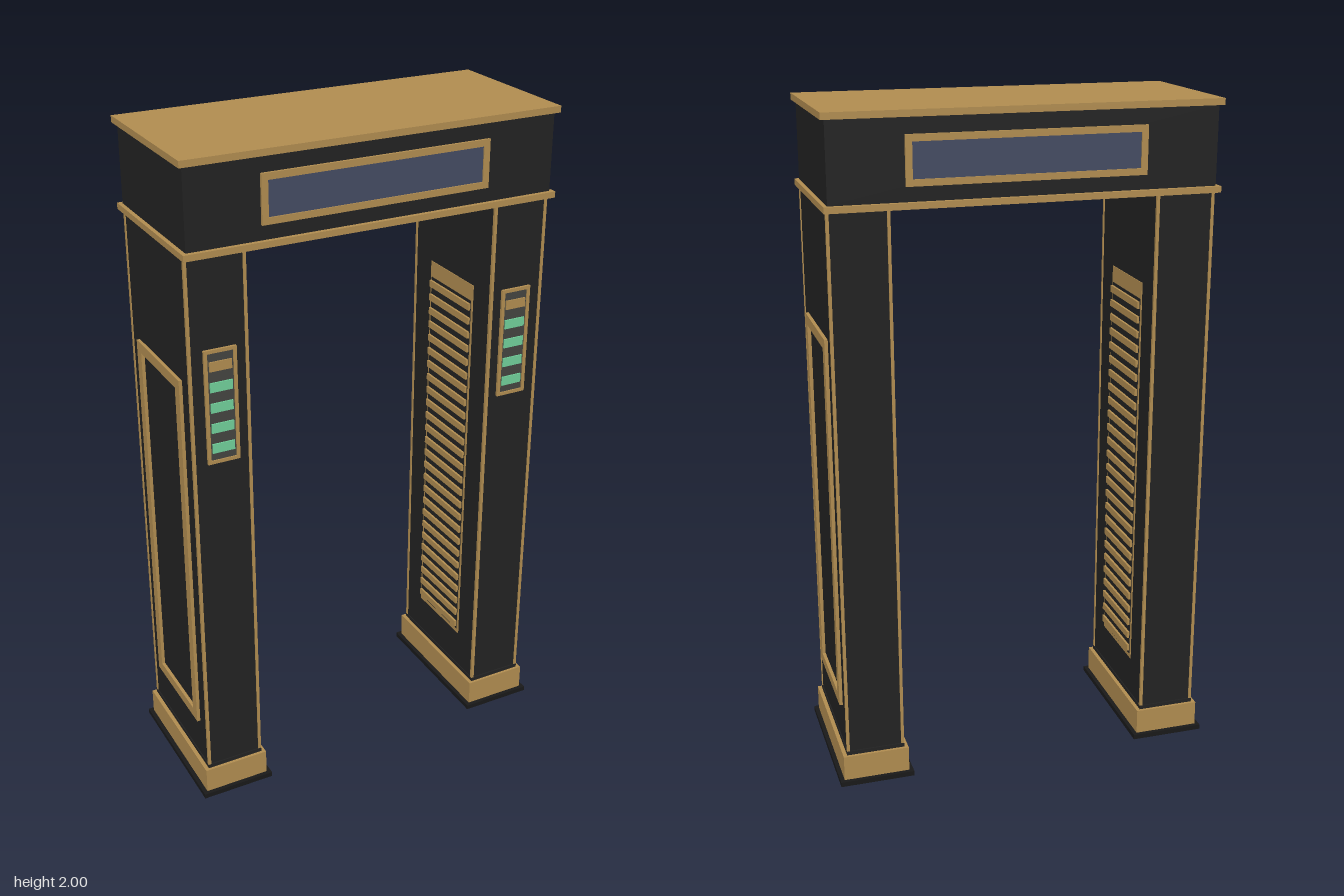
import * as THREE from 'three';

const material = (name, color) => {
  const m = new THREE.MeshStandardMaterial({ color });
  m.name = name;
  return m;
};

export function createModel() {
  const gold = material('gold', 0xb08c50);
  const black = material('black', 0x222222);
  const footBlack = material('footBlack', 0x191919);
  const panelGrey = material('panelGrey', 0x444440);
  const glass = material('glass', 0x444b62);
  const green = material('green', 0x70cf9a);

  // Box given by its min/max on each axis
  const box = (parent, name, mat, [x0, x1], [y0, y1], [z0, z1]) => {
    const mesh = new THREE.Mesh(new THREE.BoxGeometry(x1 - x0, y1 - y0, z1 - z0), mat);
    mesh.position.set((x0 + x1) / 2, (y0 + y1) / 2, (z0 + z1) / 2);
    mesh.name = name;
    parent.add(mesh);
    return mesh;
  };
  // Rectangular frame with a hole, lying in xy and extruded along +z
  const frame = (parent, name, mat, w, h, border, depth) => {
    const rect = (P, a, b) => new P([[-a, -b], [a, -b], [a, b], [-a, b]].map(p => new THREE.Vector2(...p)));
    const shape = rect(THREE.Shape, w / 2, h / 2);
    shape.holes.push(rect(THREE.Path, w / 2 - border, h / 2 - border));
    const mesh = new THREE.Mesh(new THREE.ExtrudeGeometry(shape, { depth, bevelEnabled: false }), mat);
    mesh.name = name;
    parent.add(mesh);
    return mesh;
  };

  const model = new THREE.Group();
  model.name = 'walkThroughGate';
  const C = 0.472;

  for (const side of [-1, 1]) {
    const pillar = new THREE.Group();
    pillar.name = side > 0 ? 'leftPillar' : 'rightPillar';
    model.add(pillar);
    // x range measured outward from the gate's middle
    const out = (a, b) => (side > 0 ? [a, b] : [-b, -a]);

    // Foot, plinth, collar and column
    box(pillar, 'footPlate', footBlack, out(C - 0.113, C + 0.113), [0, 0.015], [-0.238, 0.238]);
    box(pillar, 'plinth', gold, out(C - 0.1, C + 0.1), [0.015, 0.093], [-0.226, 0.226]);
    box(pillar, 'collar', black, out(C - 0.088, C + 0.088), [0.093, 0.105], [-0.217, 0.217]);
    box(pillar, 'column', black, out(C - 0.085, C + 0.085), [0.093, 1.74], [-0.213, 0.213]);

    // Gold corner strips
    for (const x of [C - 0.088, C + 0.079])
      for (const z of [-0.216, 0.207])
        box(pillar, 'cornerStrip', gold, out(x, x + 0.009), [0.105, 1.74], [z, z + 0.009]);

    // Outer face frame
    const outer = frame(pillar, 'outerFrame', gold, 0.316, 1.14, 0.031, 0.01);
    outer.rotation.y = side * Math.PI / 2;
    outer.position.set(side * (C + 0.085), 0.803, 0);

    // Louvred panel on the inner face
    const inner = C - 0.085;
    box(pillar, 'louvrePlate', gold, out(inner - 0.002, inner), [0.225, 1.46], [-0.12, 0.12]);
    box(pillar, 'louvreBacking', black, out(inner - 0.004, inner - 0.002), [0.24, 1.41], [-0.112, 0.112]);
    for (let i = 0; i < 26; i++) {
      const y = 0.25 + i * 0.0452;
      box(pillar, 'louvreSlat', gold, out(inner - 0.011, inner - 0.004), [y, y + 0.021], [-0.112, 0.112]);
    }

    // Front indicator panel with one gold and four green bars
    const cx = side * 0.469;
    box(pillar, 'indicatorPanel', panelGrey, [cx - 0.042, cx + 0.042], [1.14, 1.467], [0.213, 0.217]);
    frame(pillar, 'indicatorFrame', gold, 0.096, 0.339, 0.01, 0.008).position.set(cx, 1.3035, 0.213);
    for (let i = 0; i < 5; i++) {
      const y = 1.18 + i * 0.061;
      box(pillar, 'indicatorBar', i === 4 ? gold : green,
        [cx - 0.033, cx + 0.033], [y - 0.014, y + 0.014], [0.217, 0.221]);
    }
  }

  // Header between two gold slabs
  box(model, 'lowerSlab', gold, [-0.568, 0.568], [1.737, 1.755], [-0.241, 0.241]);
  box(model, 'header', black, [-0.556, 0.556], [1.755, 1.981], [-0.228, 0.228]);
  box(model, 'topSlab', gold, [-0.568, 0.568], [1.981, 2], [-0.241, 0.241]);

  // Display on the front and the back of the header
  for (const dir of [1, -1]) {
    const display = new THREE.Group();
    display.name = dir > 0 ? 'frontDisplay' : 'backDisplay';
    display.rotation.y = dir > 0 ? 0 : Math.PI;
    display.position.set(0, 1.866, dir * 0.228);
    frame(display, 'displayFrame', gold, 0.688, 0.138, 0.019, 0.008);
    box(display, 'displayScreen', glass, [-0.328, 0.328], [-0.053, 0.053], [0, 0.004]);
    model.add(display);
  }
  return model;
}
